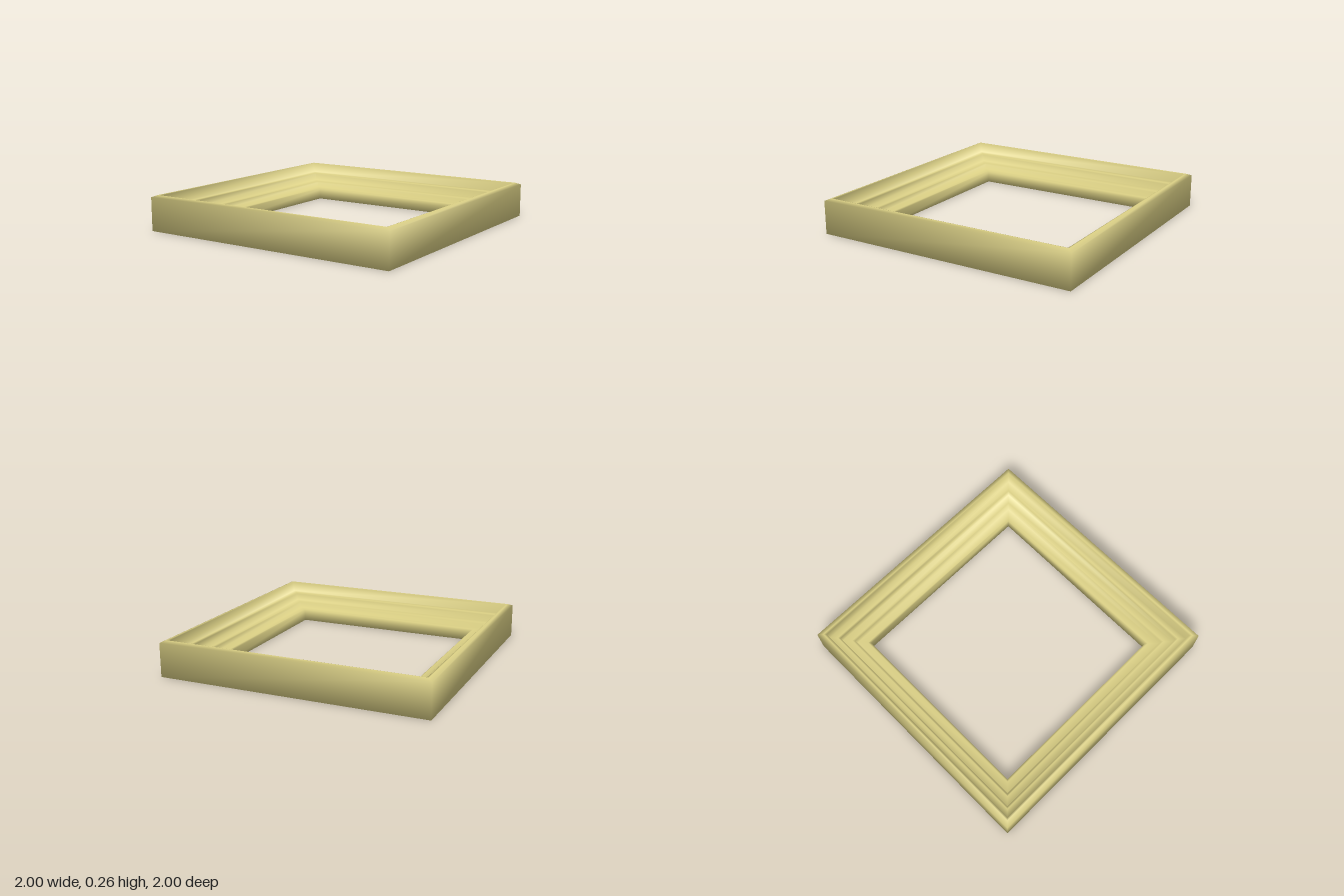
import * as THREE from 'three';

// Moulding cross-section: [distance from centre, height], outer wall -> top -> steps -> inner wall
const PROFILE = [
  [1, 0], [1, 0.25], [0.965, 0.265], [0.95, 0.26],
  [0.94, 0.19], [0.9, 0.187], [0.887, 0.178],
  [0.88, 0.13], [0.83, 0.127], [0.817, 0.118],
  [0.805, 0.085], [0.75, 0.085], [0.735, 0.075], [0.73, 0],
];
const CORNERS = [[1, 1], [1, -1], [-1, -1], [-1, 1]];

// Sweep the cross-section around the four mitred corners with shared, smooth vertices
function mouldingGeometry() {
  const n = PROFILE.length;
  const positions = [];
  const index = [];
  CORNERS.forEach(([cx, cz], k) => {
    const next = (k + 1) % 4;
    PROFILE.forEach(([r, h], i) => {
      positions.push(r * cx, h, r * cz);
      const j = (i + 1) % n;
      const a = k * n + i, b = next * n + i, c = next * n + j, d = k * n + j;
      index.push(a, b, c, a, c, d);
    });
  });
  const geometry = new THREE.BufferGeometry();
  geometry.setAttribute('position', new THREE.Float32BufferAttribute(positions, 3));
  geometry.setIndex(index);
  geometry.computeVertexNormals();
  return geometry;
}

export function createModel() {
  const group = new THREE.Group();
  group.name = 'squareFrame';
  const gold = new THREE.MeshStandardMaterial({ color: 0xdacf84 });
  gold.name = 'paleGold';
  const frame = new THREE.Mesh(mouldingGeometry(), gold);
  frame.name = 'steppedMoulding';
  group.add(frame);
  return group;
}
